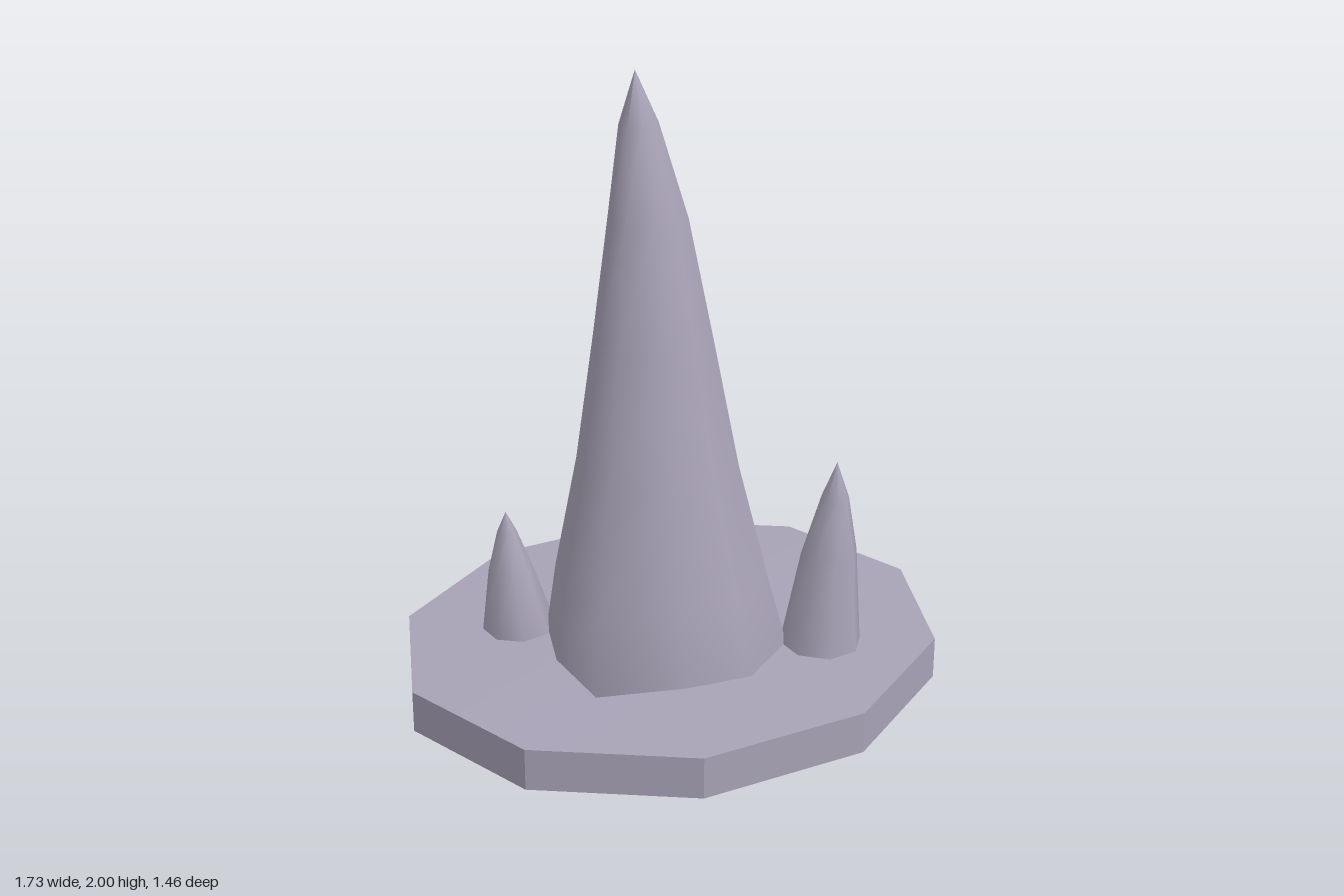
import * as THREE from 'three';
import { toCreasedNormals } from 'three/addons/utils/BufferGeometryUtils.js';

// Skin through scaled copies of an outline; each ring is [y, centreX, centreZ, scale].
// A scale of 0 closes the end to a point.
function loft(outline, rings, crease) {
  const n = outline.length;
  const at = ([y, cx, cz, s], i) => {
    const [x, z] = outline[i % n];
    return [cx + x * s, y, cz + z * s];
  };
  const pos = [];
  for (let r = 0; r < rings.length - 1; r++) {
    const lo = rings[r], hi = rings[r + 1];
    for (let i = 0; i < n; i++) {
      const a = at(lo, i), b = at(lo, i + 1), c = at(hi, i), d = at(hi, i + 1);
      if (lo[3] > 0) pos.push(...a, ...c, ...b);
      if (hi[3] > 0) pos.push(...b, ...c, ...d);
    }
  }
  const geo = new THREE.BufferGeometry();
  geo.setAttribute('position', new THREE.Float32BufferAttribute(pos, 3));
  geo.computeVertexNormals();
  return toCreasedNormals(geo, crease);
}

function polygon(sides, rx, rz, turn = 0) {
  return Array.from({ length: sides }, (_, i) => {
    const t = turn + (i / sides) * Math.PI * 2;
    return [rx * Math.cos(t), rz * Math.sin(t)];
  });
}

export function createModel() {
  const group = new THREE.Group();
  const stone = new THREE.MeshStandardMaterial({ color: 0xa8a2b6 });
  stone.name = 'pale violet stone';
  const add = (name, geo) => {
    const mesh = new THREE.Mesh(geo, stone);
    mesh.name = name;
    group.add(mesh);
  };

  // Ten-sided oval slab, slightly domed above and below
  add('baseSlab', loft(polygon(10, 0.867, 0.765), [
    [0.03, 0, 0, 0], [0.055, 0, 0, 1], [0.188, 0, 0, 1], [0.21, 0, 0, 0],
  ], 0.5));

  // Large leaning spike with an irregular footprint, relative to its centre
  const footprint = [
    [0.105, -0.38], [0.385, 0.02], [0.29, 0.25], [0.095, 0.38], [-0.115, 0.355],
    [-0.375, 0.275], [-0.385, 0.02], [-0.32, -0.19], [-0.145, -0.355],
  ];
  add('mainSpike', loft(footprint, [
    [0, 0, 0, 0], [0.025, -0.02, 0.02, 1.02], [0.21, -0.025, 0.02, 1],
    [0.43, -0.045, 0.03, 0.88], [0.8, -0.06, 0.035, 0.66], [1.2, -0.07, 0.03, 0.48],
    [1.57, -0.08, 0.02, 0.315], [1.84, -0.1, 0.005, 0.16], [2, -0.11, 0, 0],
  ], 1.3));

  // Two small spikes beside it
  const round = polygon(8, 1, 1, 0.3);
  add('leftSmallSpike', loft(round, [
    [0.02, 0.375, 0.295, 0], [0.022, 0.375, 0.295, 0.155], [0.21, 0.375, 0.295, 0.127],
    [0.5, 0.395, 0.3, 0.088], [0.68, 0.405, 0.308, 0.045], [0.8, 0.41, 0.31, 0],
  ], 1.2));
  add('rightSmallSpike', loft(round, [
    [0.02, -0.415, -0.22, 0], [0.022, -0.415, -0.22, 0.128], [0.21, -0.42, -0.22, 0.112],
    [0.4, -0.44, -0.225, 0.07], [0.53, -0.448, -0.23, 0.03], [0.595, -0.45, -0.23, 0],
  ], 1.2));

  return group;
}
